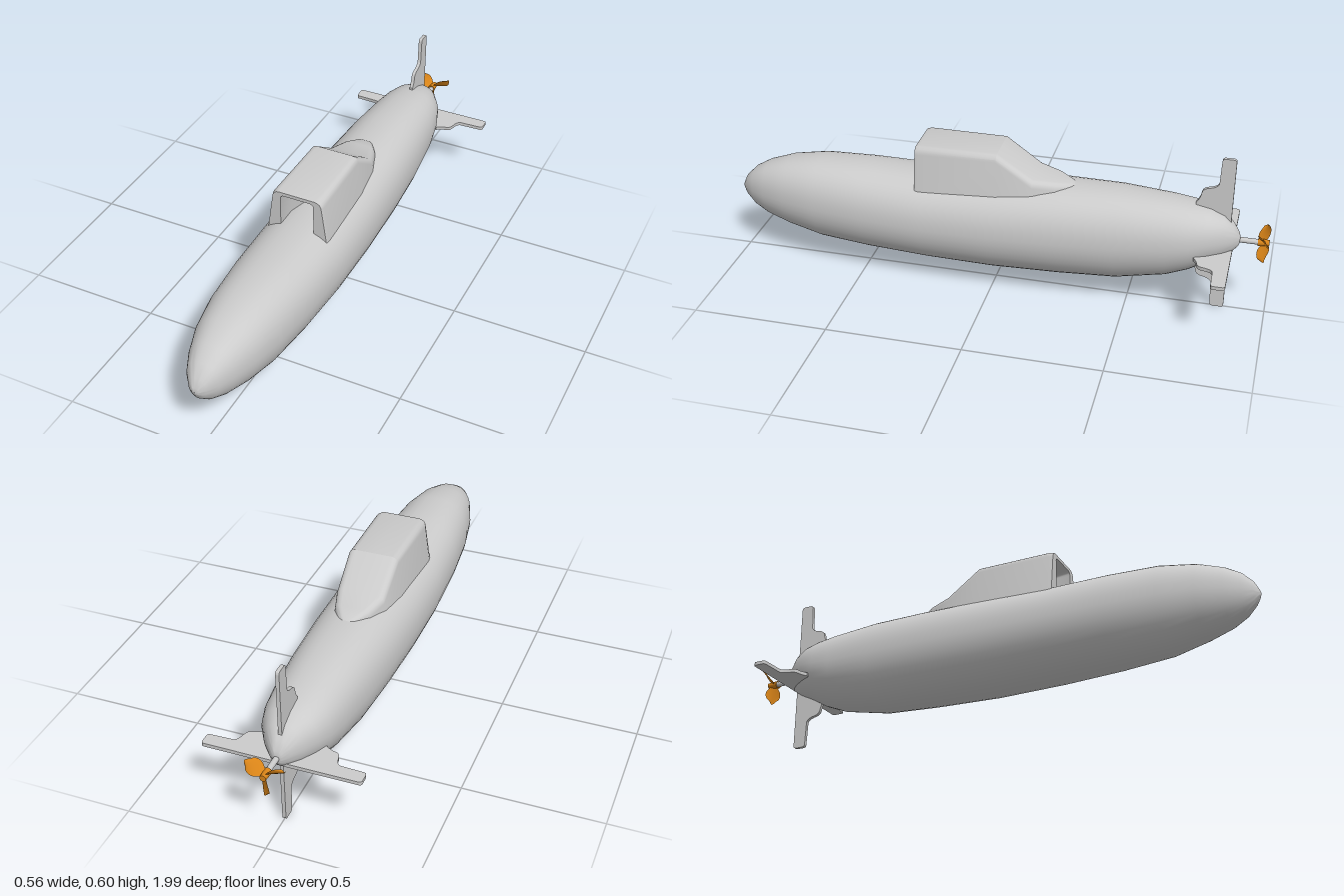
import * as THREE from 'three';
import { toCreasedNormals } from 'three/addons/utils/BufferGeometryUtils.js';

const grey = new THREE.MeshStandardMaterial({ color: 0xcccccc });
const greyThin = new THREE.MeshStandardMaterial({ color: 0xcccccc, side: THREE.DoubleSide });
const orange = new THREE.MeshStandardMaterial({ color: 0xd98418, side: THREE.DoubleSide });

function part(parent, name, geometry, material = grey) {
  const mesh = new THREE.Mesh(geometry, material);
  mesh.name = name;
  parent.add(mesh);
  return mesh;
}

// Skin a row of rings; each ring is a list of [x, y, z]
function loft(rings, crease) {
  const n = rings[0].length;
  const index = [];
  for (let i = 0; i < rings.length - 1; i++) {
    for (let j = 0; j < n - 1; j++) {
      const a = i * n + j, b = a + 1, c = a + n, d = c + 1;
      index.push(a, b, c, b, d, c);
    }
  }
  const g = new THREE.BufferGeometry();
  g.setAttribute('position', new THREE.Float32BufferAttribute(rings.flat(2), 3));
  g.setIndex(index);
  return toCreasedNormals(g, crease);
}

// Egg-shaped hull section, fuller above than below
function hullRing([z, w, top, bottom]) {
  const mid = (top + bottom) / 2 + 0.05 * w, ring = [];
  for (let i = 0; i <= 40; i++) {
    const a = (i % 40) / 40 * Math.PI * 2;
    const c = Math.cos(a), s = Math.sin(a);
    const e = 2 / (s > 0 ? 2.35 : 1.92);
    const h = s > 0 ? top - mid : mid - bottom;
    ring.push([
      w * Math.sign(c) * Math.abs(c) ** e,
      mid + h * Math.sign(s) * Math.abs(s) ** e, z]);
  }
  return ring;
}

// Arched section of the tower: base and top half widths, top height, corner radius
function towerRing(z, wb, wt, top, r, base = 0.34) {
  const right = [[wb, base]];
  for (let i = 0; i <= 4; i++) {
    const a = i / 4 * Math.PI / 2;
    right.push([wt - r + r * Math.cos(a), top - r + r * Math.sin(a)]);
  }
  const left = right.map(([x, y]) => [-x, y]).reverse();
  return [...right, [0, top], ...left].map(([x, y]) => [x, y, z]);
}

// Stern fin outline: x runs along the hull, y along the span
function finGeometry() {
  const s = new THREE.Shape();
  s.moveTo(-0.853, 0);
  s.lineTo(-0.853, 0.288);
  s.quadraticCurveTo(-0.853, 0.3, -0.842, 0.3);
  s.lineTo(-0.815, 0.3);
  s.quadraticCurveTo(-0.803, 0.3, -0.803, 0.288);
  s.lineTo(-0.8, 0.2);
  s.quadraticCurveTo(-0.795, 0.188, -0.775, 0.182);
  s.quadraticCurveTo(-0.745, 0.178, -0.742, 0.16);
  s.quadraticCurveTo(-0.738, 0.135, -0.725, 0.12);
  s.lineTo(-0.725, 0.06);
  s.lineTo(-0.8, 0);
  const g = new THREE.ExtrudeGeometry(s, { depth: 0.013, bevelEnabled: false, curveSegments: 6 });
  return toCreasedNormals(g.translate(0, 0, -0.0065).rotateY(-Math.PI / 2), 0.6);
}

// Twisted leaf-shaped propeller blade hanging along -y
function bladeGeometry() {
  const g = new THREE.PlaneGeometry(1, 1, 8, 10);
  const p = g.attributes.position;
  for (let i = 0; i < p.count; i++) {
    const u = p.getX(i), t = p.getY(i) + 0.5;
    const width = 0.014 + 0.044 * Math.sin(Math.PI * Math.min(1, t * 0.97)) ** 0.7;
    const chord = u * width * (t > 0.9 ? 0.8 : 1);
    const pitch = 1.0 - 0.4 * t;
    const camber = 0.008 * (1 - 4 * u * u) * t;
    p.setXYZ(i,
      chord * Math.cos(pitch) + camber * Math.sin(pitch),
      -0.006 - 0.074 * t * (1 - 0.35 * u * u * t),
      chord * Math.sin(pitch) - camber * Math.cos(pitch));
  }
  g.computeVertexNormals();
  return g;
}

export function createModel() {
  const model = new THREE.Group();
  model.name = 'submarine';

  // Hull stations: z, half width, top, bottom, from stern to bow
  const stations = [
    [-0.893, 0.001, 0.288, 0.286], [-0.885, 0.018, 0.315, 0.262],
    [-0.865, 0.04, 0.345, 0.24], [-0.83, 0.07, 0.378, 0.215],
    [-0.78, 0.1, 0.4, 0.19], [-0.72, 0.12, 0.412, 0.155],
    [-0.64, 0.133, 0.422, 0.122], [-0.46, 0.15, 0.435, 0.085],
    [-0.25, 0.162, 0.434, 0.074], [0, 0.168, 0.428, 0.067],
    [0.25, 0.168, 0.42, 0.072], [0.48, 0.158, 0.425, 0.082],
    [0.67, 0.14, 0.423, 0.097], [0.8, 0.116, 0.403, 0.128],
    [0.89, 0.086, 0.374, 0.156], [0.945, 0.06, 0.343, 0.186],
    [0.98, 0.033, 0.307, 0.22], [0.995, 0.014, 0.277, 0.245],
    [1, 0.001, 0.262, 0.26],
  ];
  part(model, 'hull', loft(stations.map(hullRing), 1.2));

  // Tower: outer skin from tail to front, front rim, then the recess inside
  const tower = [
    towerRing(-0.305, 0.004, 0.003, 0.425, 0.002),
    towerRing(-0.28, 0.045, 0.035, 0.44, 0.02),
    towerRing(-0.23, 0.078, 0.066, 0.452, 0.025),
    towerRing(-0.15, 0.103, 0.09, 0.464, 0.025),
    towerRing(-0.02, 0.116, 0.094, 0.553, 0.025),
    towerRing(0.265, 0.122, 0.098, 0.553, 0.028),
    towerRing(0.28, 0.12, 0.094, 0.549, 0.026),
    towerRing(0.28, 0.064, 0.063, 0.536, 0.012),
    towerRing(0.2, 0.064, 0.063, 0.53, 0.012),
    towerRing(0.12, 0.034, 0.033, 0.527, 0.004),
    towerRing(0.12, 0, 0, 0.527, 0),
  ];
  part(model, 'tower', loft(tower, 0.5), greyThin);

  // Recess fittings
  const screen = part(model, 'instrumentPanel', new THREE.BoxGeometry(0.037, 0.03, 0.012));
  screen.position.set(0, 0.488, 0.125);
  const wheel = new THREE.Group();
  wheel.name = 'controlWheel';
  wheel.position.set(0.038, 0.462, 0.17);
  wheel.rotation.y = -0.9;
  part(wheel, 'wheelRim', new THREE.TorusGeometry(0.009, 0.002, 6, 16));
  const stem = part(wheel, 'wheelStem', new THREE.CylinderGeometry(0.002, 0.002, 0.025, 8));
  stem.rotation.x = Math.PI / 2;
  stem.position.z = -0.012;
  model.add(wheel);

  // Four stern fins in a cross
  const fin = finGeometry();
  ['topFin', 'rightFin', 'bottomFin', 'leftFin'].forEach((name, i) => {
    const m = part(model, name, fin);
    const flat = i % 2 === 1;
    m.rotation.z = i * Math.PI / 2;
    m.position.set(0, flat ? 0.248 : 0.3, flat ? -0.014 : 0);
    if (flat) m.scale.y = 0.28 / 0.3;
  });

  // Propeller with shaft, hub and three blades
  const propeller = new THREE.Group();
  propeller.name = 'propeller';
  propeller.position.set(0, 0.287, -0.972);
  const shaft = part(propeller, 'shaft', new THREE.CylinderGeometry(0.01, 0.01, 0.12, 16));
  shaft.rotation.x = Math.PI / 2;
  shaft.position.z = 0.05;
  const hub = part(propeller, 'hub', new THREE.CylinderGeometry(0.014, 0.011, 0.04, 16), orange);
  hub.rotation.x = Math.PI / 2;
  const blade = bladeGeometry();
  for (let i = 0; i < 3; i++) {
    part(propeller, 'blade' + (i + 1), blade, orange).rotation.z = i * Math.PI * 2 / 3;
  }
  model.add(propeller);

  return model;
}
